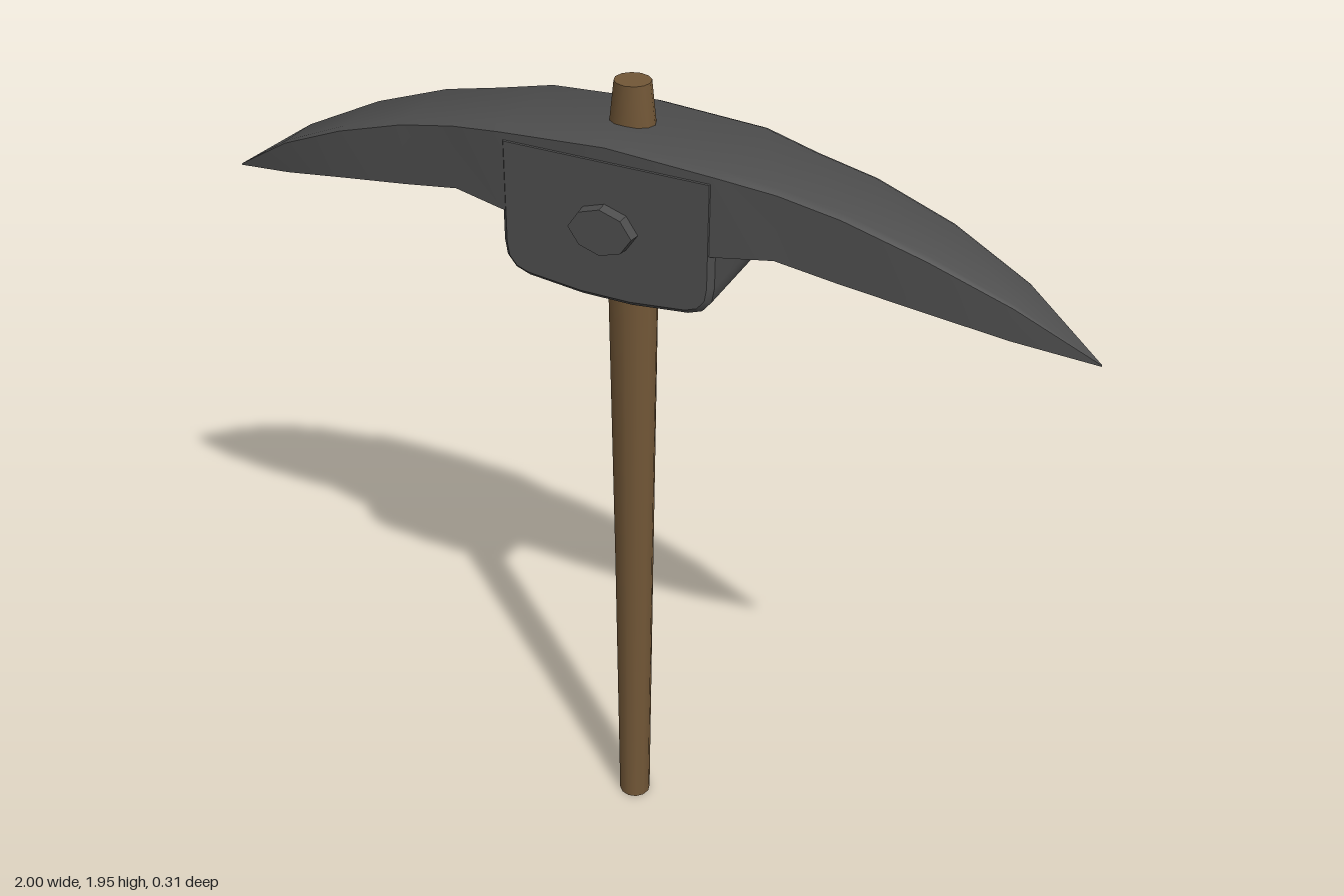
import * as THREE from 'three';
import { toCreasedNormals } from 'three/addons/utils/BufferGeometryUtils.js';

const iron = new THREE.MeshStandardMaterial({ color: 0x4d4d4d });
const wood = new THREE.MeshStandardMaterial({ color: 0x725737 });

// Skin a row of equal-length rings of [x, y, z] points and cap both ends.
function loft(rings, crease) {
  const n = rings[0].length;
  const index = [];
  for (let i = 0; i < rings.length - 1; i++) {
    for (let k = 0; k < n; k++) {
      const a = i * n + k, b = i * n + (k + 1) % n;
      index.push(a, a + n, b, b, a + n, b + n);
    }
  }
  const last = (rings.length - 1) * n;
  for (let k = 1; k < n - 1; k++) {
    index.push(0, k, k + 1, last, last + k + 1, last + k);
  }
  const geometry = new THREE.BufferGeometry();
  geometry.setAttribute('position', new THREE.Float32BufferAttribute(rings.flat(2), 3));
  geometry.setIndex(index);
  return toCreasedNormals(geometry, crease);
}

function addMesh(parent, name, geometry, material) {
  const mesh = new THREE.Mesh(geometry, material);
  mesh.name = name;
  parent.add(mesh);
  return mesh;
}

// Curved double-pointed blade: x, top, bottom, half thickness.
function bladeGeometry() {
  const half = [
    [0, 1.86, 1.64, 0.128], [0.24, 1.846, 1.665, 0.128], [0.36, 1.824, 1.676, 0.107],
    [0.49, 1.798, 1.655, 0.101], [0.66, 1.742, 1.627, 0.086],
    [0.83, 1.664, 1.59, 0.055], [1, 1.552, 1.549, 0.001],
  ];
  const mirrored = half.slice(1).reverse().map(([x, ...rest]) => [-x, ...rest]);
  const rings = [...mirrored, ...half].map(([x, top, bottom, w]) => {
    const crown = w * 0.07;
    return [
      [x, top - crown, w], [x, top, w * 0.85], [x, top, -w * 0.85],
      [x, top - crown, -w], [x, bottom, -w], [x, bottom, w],
    ];
  });
  return loft(rings, 0.5);
}

// Socket block with chamfered lower corners and softened front and back rims.
function socketGeometry() {
  const b = 0.012;
  const right = [[0.06, 1.507], [0.19, 1.52], [0.218, 1.53], [0.235, 1.55], [0.24, 1.58], [0.24, 1.82]];
  const outline = [...right, ...right.map(([x, y]) => [-x, y]).reverse()];
  const shape = new THREE.Shape(outline.map(([x, y]) =>
    new THREE.Vector2(x * (1 - b / 0.24), y < 1.6 ? y + b : y)));
  const geometry = new THREE.ExtrudeGeometry(shape, {
    depth: 0.26 - 2 * b, bevelEnabled: true, bevelThickness: b, bevelSize: b, bevelSegments: 1,
  });
  geometry.translate(0, 0, b - 0.13);
  return toCreasedNormals(geometry, 0.6);
}

// Tapered oval handle, leaning slightly back at the foot: y, x radius, z radius, z offset.
function handleGeometry() {
  const sides = 12;
  const levels = [
    [0, 0.038, 0.038, -0.012], [0.75, 0.046, 0.041, -0.008],
    [1.5, 0.057, 0.042, -0.002], [1.86, 0.05, 0.038, 0], [1.945, 0.039, 0.037, 0],
  ];
  const rings = levels.map(([y, rx, rz, z]) => Array.from({ length: sides }, (_, k) => {
    const a = (k / sides) * Math.PI * 2;
    return [rx * Math.cos(a), y, z + rz * Math.sin(a)];
  }));
  return loft(rings, 0.7);
}

export function createModel() {
  const model = new THREE.Group();
  model.name = 'pickaxe';

  const head = new THREE.Group();
  head.name = 'head';
  model.add(head);
  addMesh(head, 'blade', bladeGeometry(), iron);
  addMesh(head, 'socketBlock', socketGeometry(), iron);

  // Oval rivet heads on the front and back of the socket.
  const rivet = new THREE.CylinderGeometry(0.92, 1, 0.05, 8).rotateX(Math.PI / 2);
  // Lengthen the middle and pull the diagonals in for a pointed oval.
  const p = rivet.attributes.position;
  for (let i = 0; i < p.count; i++) {
    const x = p.getX(i), y = p.getY(i);
    p.setXY(i, x * (Math.abs(y) < 0.1 ? 0.078 : 0.072), y * 0.056);
  }
  const rivetGeometry = toCreasedNormals(rivet, 0.5);
  for (const side of [1, -1]) {
    const mesh = addMesh(head, side > 0 ? 'frontRivet' : 'backRivet', rivetGeometry, iron);
    mesh.position.set(0, 1.68 - side * 0.004, side * 0.129);
    if (side < 0) mesh.rotation.y = Math.PI;
  }

  addMesh(model, 'handle', handleGeometry(), wood);
  return model;
}
